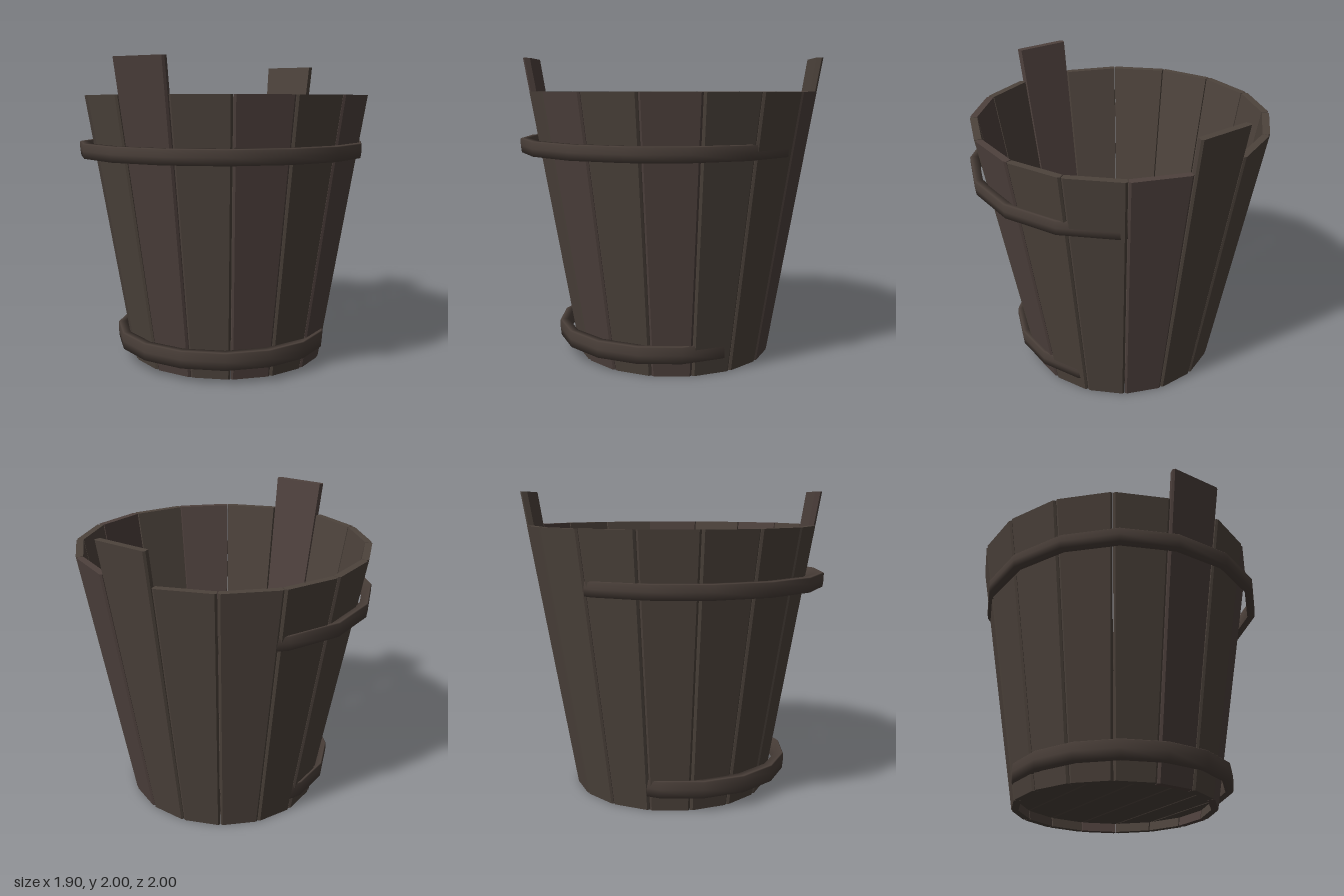
import * as THREE from 'three';

const SIDES = 16;
const HALF = Math.PI / SIDES;
const TAN = Math.tan(HALF);
const SLOPE = 0.165;      // outward lean of the wall
const BASE = 0.655;       // outer apothem at the bottom
const THICK = 0.046;
const CENTRE = [-0.004, 0, -0.013];

// One tapered stave facing +z, with chamfered outer edges
function staveGeometry(height) {
  const section = (y) => {
    const r = BASE + SLOPE * y, c = 0.012, gap = 0.004;
    const wOut = Math.min(r, 0.96) * TAN - gap;
    const wIn = (Math.min(r, 0.96) - THICK) * TAN - gap;
    return [[-wIn, r - THICK], [-wOut, r - c], [-wOut + c, r],
      [wOut - c, r], [wOut, r - c], [wIn, r - THICK]].map(([x, z]) => [x, y, z]);
  };
  const low = section(0), high = section(height), pos = [];
  const n = low.length;
  for (let i = 0; i < n; i++) {
    const j = (i + 1) % n;
    pos.push(...low[i], ...low[j], ...high[j], ...low[i], ...high[j], ...high[i]);
  }
  for (let i = 1; i < n - 1; i++) {
    pos.push(...high[0], ...high[i], ...high[i + 1]);
    pos.push(...low[0], ...low[i + 1], ...low[i]);
  }
  const geo = new THREE.BufferGeometry();
  geo.setAttribute('position', new THREE.Float32BufferAttribute(pos, 3));
  geo.computeVertexNormals();
  return geo;
}

// Sixteen-sided band with softened shading
function hoopGeometry(apothem, y0, y1, depth) {
  const k = 1 / Math.cos(HALF), e = 0.006;
  const pts = [
    [apothem - depth, y0], [apothem - e, y0], [apothem, (y0 + y1) / 2],
    [apothem, y1 - e], [apothem - e, y1], [apothem - depth, y1], [apothem - depth, y0],
  ].map(([r, y]) => new THREE.Vector2(r * k, y));
  return new THREE.LatheGeometry(pts, SIDES, HALF, Math.PI * 2);
}

export function createModel() {
  const wood = new THREE.MeshStandardMaterial({ color: 0x4d433c });
  wood.name = 'dark wood';
  const redWood = new THREE.MeshStandardMaterial({ color: 0x4e413d });
  redWood.name = 'reddish wood';
  const hoopMat = new THREE.MeshStandardMaterial({ color: 0x4b403a });
  hoopMat.name = 'hoop brown';

  const model = new THREE.Group();
  model.name = 'bucket';
  const add = (parent, geo, mat, name) => {
    const mesh = new THREE.Mesh(geo, mat);
    mesh.name = name;
    parent.add(mesh);
    return mesh;
  };

  // Wall of staves; front and back ones rise above the rim
  const wall = new THREE.Group();
  wall.name = 'wall';
  wall.position.set(...CENTRE);
  model.add(wall);
  const shortStave = staveGeometry(1.78), tallStave = staveGeometry(2);
  const reddish = [0, 2, 4, 7];
  for (let i = 0; i < SIDES; i++) {
    const tall = i % (SIDES / 2) === 0;
    const stave = add(wall, tall ? tallStave : shortStave,
      reddish.includes(i) ? redWood : wood, tall ? 'handleStave' : 'stave');
    stave.rotation.y = i * HALF * 2;
  }

  // Floor planks, cut at the corners of the wall
  const floor = new THREE.Group();
  floor.name = 'floor';
  floor.position.set(...CENTRE);
  model.add(floor);
  const R = 0.627 / Math.cos(HALF), bevel = 0.008;
  for (let k = -4; k < 3; k++) {
    const [a, b] = [(k + 0.5) * 2 * HALF, (k + 1.5) * 2 * HALF];
    const [xa, xb] = [R * Math.sin(a), R * Math.sin(b)];
    const [za, zb] = [R * Math.cos(a), R * Math.cos(b)];
    const shape = new THREE.Shape([
      new THREE.Vector2(xa, -za), new THREE.Vector2(xb, -zb),
      new THREE.Vector2(xb, zb), new THREE.Vector2(xa, za)]);
    const geo = new THREE.ExtrudeGeometry(shape, {
      depth: 0.034, bevelEnabled: true, bevelSegments: 1,
      bevelSize: bevel, bevelThickness: bevel, bevelOffset: -bevel });
    geo.rotateX(-Math.PI / 2);
    geo.translate(0, 0.068, 0);
    add(floor, geo, wood, 'floorPlank');
  }

  // Hoops sit slightly forward, sinking into the wall at the back
  const upper = add(model, hoopGeometry(0.94, 1.38, 1.475, 0.055), hoopMat, 'upperHoop');
  const lower = add(model, hoopGeometry(0.709, 0.1, 0.212, 0.055), hoopMat, 'lowerHoop');
  upper.position.z = lower.position.z = 0.06;

  return model;
}
